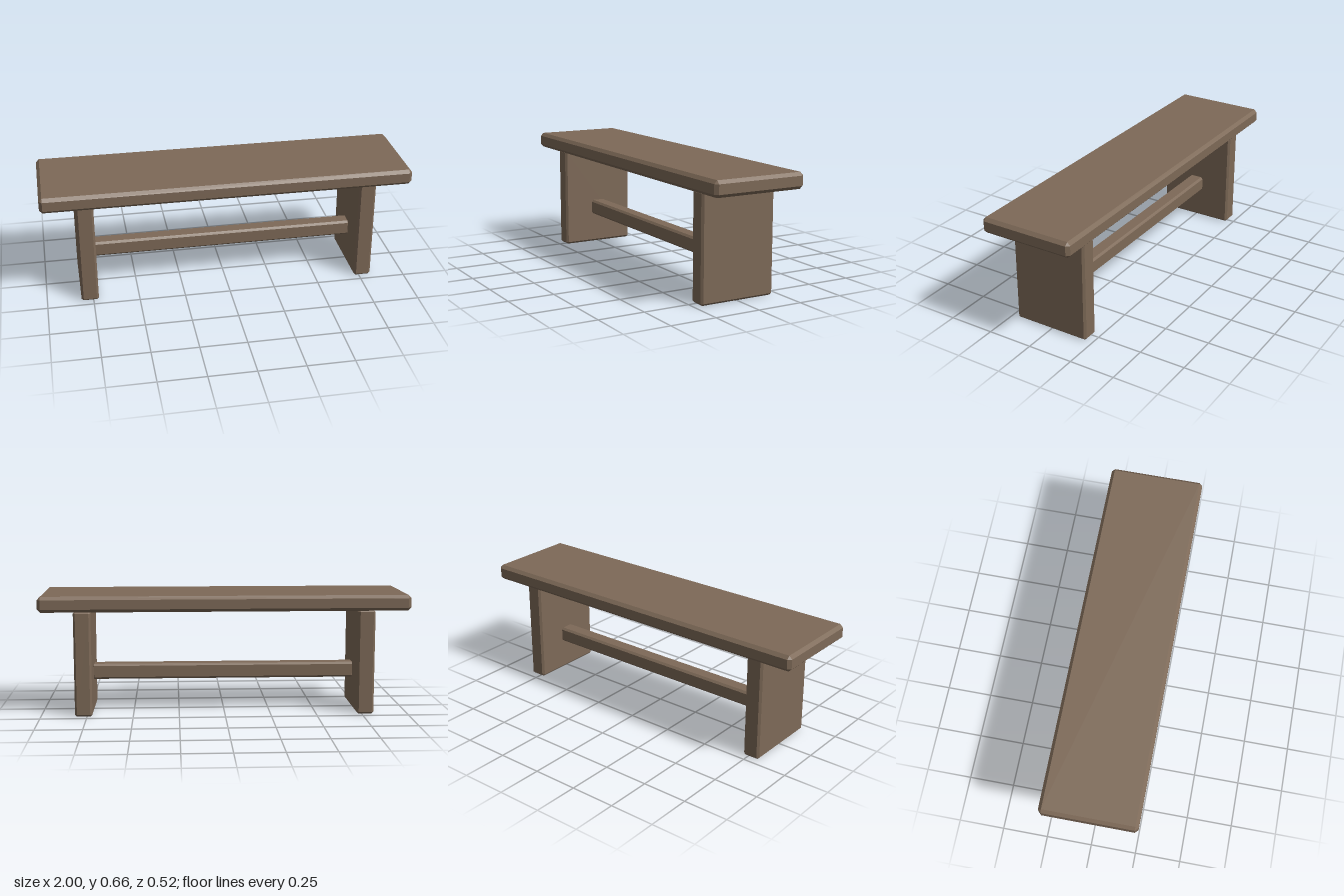
import * as THREE from 'three';
import { ConvexGeometry } from 'three/addons/geometries/ConvexGeometry.js';

// Box with flat chamfers on every edge, w x h x d outside, chamfer c
function chamferBox(w, h, d, c) {
  const points = [];
  for (const sx of [-1, 1]) for (const sy of [-1, 1]) for (const sz of [-1, 1]) {
    const x = w / 2, y = h / 2, z = d / 2;
    points.push(
      new THREE.Vector3(sx * x, sy * (y - c), sz * (z - c)),
      new THREE.Vector3(sx * (x - c), sy * y, sz * (z - c)),
      new THREE.Vector3(sx * (x - c), sy * (y - c), sz * z)
    );
  }
  return new ConvexGeometry(points);
}

export function createModel() {
  const group = new THREE.Group();
  group.name = 'bench';
  const wood = new THREE.MeshStandardMaterial({ color: 0x7d6957 });
  wood.name = 'brown wood';

  const add = (name, geometry, x, y) => {
    const mesh = new THREE.Mesh(geometry, wood);
    mesh.name = name;
    mesh.position.set(x, y, 0);
    group.add(mesh);
  };

  // Seat plank
  add('seat', chamferBox(2, 0.085, 0.516, 0.017), 0, 0.6165);

  // Slab legs
  const leg = chamferBox(0.094, 0.574, 0.428, 0.011);
  add('leftLeg', leg, 0.768, 0.287);
  add('rightLeg', leg, -0.768, 0.287);

  // Stretcher between the legs, its ends let into them
  add('stretcher', chamferBox(1.46, 0.085, 0.085, 0.011), 0, 0.217);

  return group;
}
